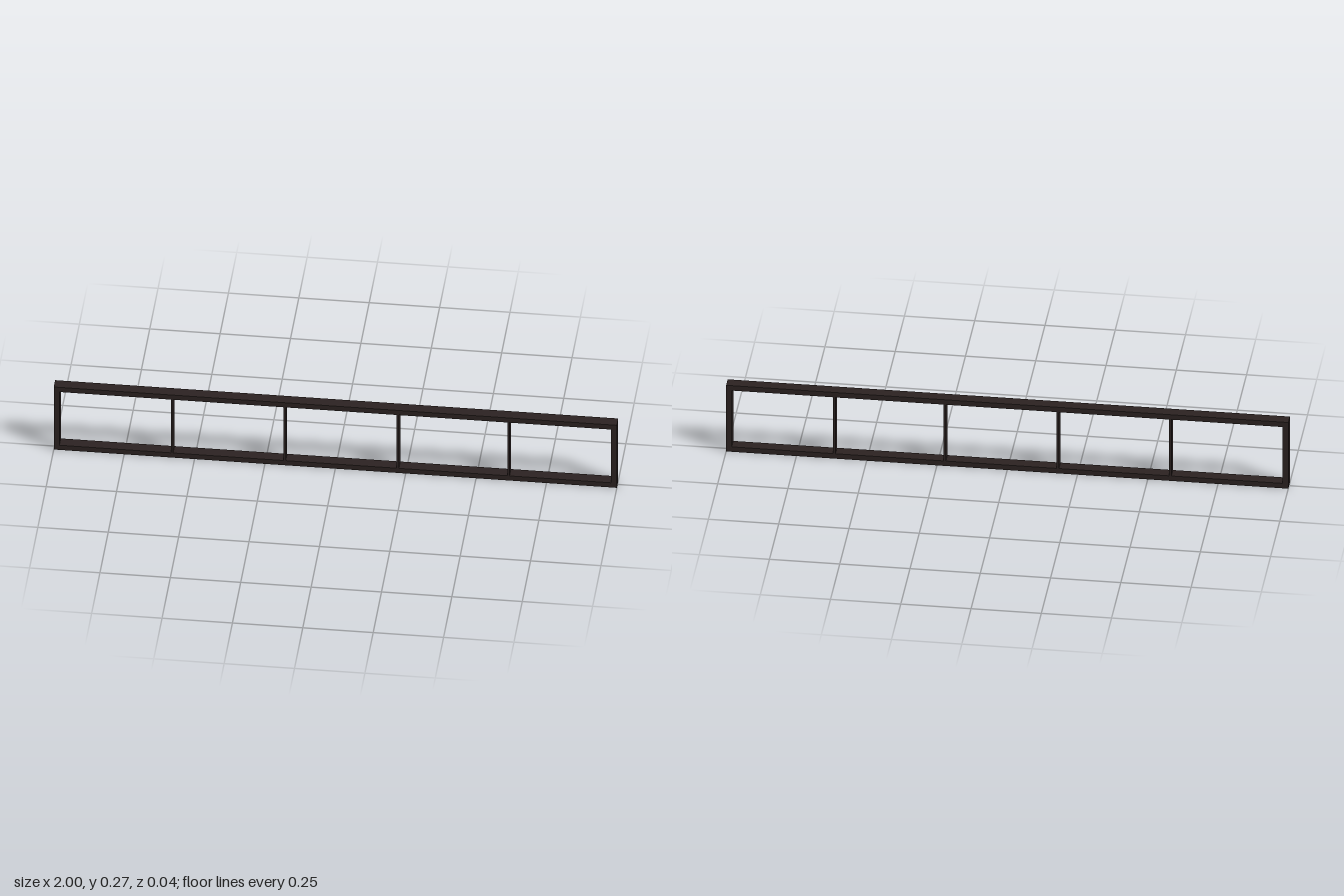
import * as THREE from 'three';

export function createModel() {
  const model = new THREE.Group();
  model.name = 'windowFrame';
  const darkWood = new THREE.MeshStandardMaterial({ name: 'darkWood', color: 0x2b2221 });

  const length = 2, height = 0.27, depth = 0.042, bar = 0.02, thin = 0.008;

  function addBar(name, width, tall, x, y) {
    const mesh = new THREE.Mesh(new THREE.BoxGeometry(width, tall, depth), darkWood);
    mesh.name = name;
    mesh.position.set(x, y, 0);
    model.add(mesh);
  }

  // Long rails
  addBar('bottomRail', length, bar, 0, bar / 2);
  addBar('topRail', length, bar, 0, height - bar / 2);

  // End posts fitted between the rails
  const inner = height - 2 * bar;
  addBar('leftPost', bar, inner, (length - bar) / 2, height / 2);
  addBar('rightPost', bar, inner, -(length - bar) / 2, height / 2);

  // Thin dividers
  [-0.58, -0.18, 0.222, 0.615].forEach((x, i) => {
    addBar('divider' + (i + 1), thin, inner, x, height / 2);
  });

  return model;
}
